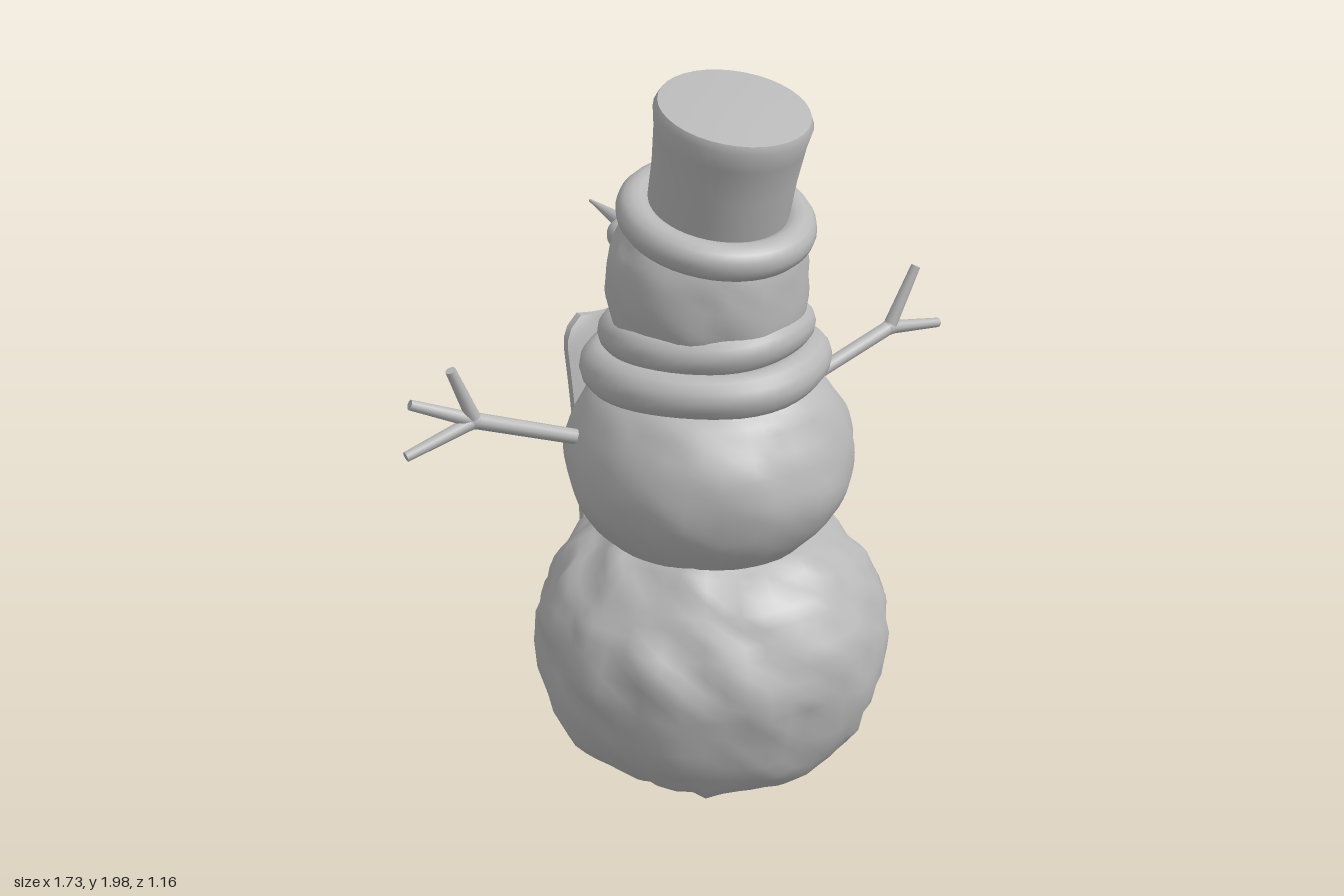
import * as THREE from 'three';
import { mergeVertices, toCreasedNormals } from 'three/addons/utils/BufferGeometryUtils.js';

const grey = new THREE.MeshStandardMaterial({ color: 0xb8b8b8 });
grey.name = 'snow grey';

function add(parent, name, geometry, x = 0, y = 0, z = 0) {
  const mesh = new THREE.Mesh(geometry, grey);
  mesh.name = name;
  mesh.position.set(x, y, z);
  parent.add(mesh);
  return mesh;
}

// Move every vertex by a rule, then weld and smooth.
function reshape(geometry, rule) {
  const p = geometry.attributes.position, v = new THREE.Vector3();
  for (let i = 0; i < p.count; i++) {
    rule(v.fromBufferAttribute(p, i));
    p.setXYZ(i, v.x, v.y, v.z);
  }
  geometry.deleteAttribute('uv');
  geometry.deleteAttribute('normal');
  const welded = mergeVertices(geometry, 1e-4);
  welded.computeVertexNormals();
  return welded;
}

// Smooth value noise in -1..1 for packed-snow lumps.
function hash(x, y, z) {
  const s = Math.sin(x * 127.1 + y * 311.7 + z * 74.7) * 43758.5453;
  return (s - Math.floor(s)) * 2 - 1;
}
function noise(x, y, z) {
  const ix = Math.floor(x), iy = Math.floor(y), iz = Math.floor(z);
  const ease = t => t * t * (3 - 2 * t);
  const fx = ease(x - ix), fy = ease(y - iy), fz = ease(z - iz);
  let sum = 0;
  for (let a = 0; a < 2; a++) for (let b = 0; b < 2; b++) for (let c = 0; c < 2; c++)
    sum += hash(ix + a, iy + b, iz + c) * (a ? fx : 1 - fx) * (b ? fy : 1 - fy) * (c ? fz : 1 - fz);
  return sum;
}

function snowball(profile, midY, lump, freq) {
  const curve = new THREE.SplineCurve(profile.map(([r, y]) => new THREE.Vector2(r, y)));
  const points = curve.getPoints(34);
  points.forEach(p => { p.x = Math.max(0, p.x); });
  points[0].x = points[points.length - 1].x = 0;
  const centre = new THREE.Vector3(0, midY, 0);
  return reshape(new THREE.LatheGeometry(points, 52), v => {
    const n = noise(v.x * freq + 7, v.y * freq, v.z * freq) + 0.4 * noise(v.x * freq * 2.3, v.y * freq * 2.3 + 5, v.z * freq * 2.3);
    v.addScaledVector(v.clone().sub(centre).normalize(), n * lump);
    v.y = Math.max(v.y, 0.005);
  });
}

// Tapered rod between two points.
function rod(parent, name, from, to, r0, r1, sides = 10) {
  const a = new THREE.Vector3(...from), b = new THREE.Vector3(...to);
  const dir = b.clone().sub(a);
  const mesh = add(parent, name, new THREE.CylinderGeometry(r1, r0, dir.length(), sides));
  mesh.position.copy(a).add(b).multiplyScalar(0.5);
  mesh.quaternion.setFromUnitVectors(new THREE.Vector3(0, 1, 0), dir.normalize());
}

export function createModel() {
  const model = new THREE.Group();
  model.name = 'snowman';

  // Stacked snow body
  add(model, 'lowerBall', snowball([[0, 0.01], [0.15, 0.01], [0.29, 0.02], [0.43, 0.13], [0.505, 0.36],
    [0.465, 0.54], [0.36, 0.67], [0.2, 0.73], [0, 0.74]], 0.37, 0.024, 10), 0, 0, 0.075);
  add(model, 'middleBall', snowball([[0, 0.6], [0.18, 0.64], [0.29, 0.71], [0.375, 0.82], [0.4, 0.94],
    [0.365, 1.07], [0.27, 1.18], [0, 1.24]], 0.93, 0.01, 8), 0, 0, 0.06);
  add(model, 'head', snowball([[0, 1.16], [0.2, 1.21], [0.265, 1.33], [0.275, 1.45], [0.255, 1.55],
    [0.18, 1.63], [0, 1.66]], 1.43, 0.009, 9), 0, 0, 0.05);

  // Face
  for (const x of [-0.12, 0.12]) add(model, 'eye', new THREE.SphereGeometry(0.046, 18, 12), x, 1.51, -0.185);
  rod(model, 'carrotNose', [0.01, 1.44, -0.19], [0, 1.475, -0.582], 0.048, 0.004, 16);
  const smile = new THREE.CatmullRomCurve3([[-0.1, 1.385, -0.19], [-0.05, 1.355, -0.21], [0, 1.345, -0.217],
    [0.05, 1.355, -0.21], [0.1, 1.385, -0.19]].map(p => new THREE.Vector3(...p)));
  add(model, 'mouth', new THREE.TubeGeometry(smile, 20, 0.012, 8));

  // Top hat, tipped backwards
  const hat = new THREE.Group();
  hat.name = 'topHat';
  hat.position.set(0, 1.62, 0.095);
  hat.rotation.x = 0.26;
  model.add(hat);
  const crown = [[0.18, -0.02], [0.188, 0.05], [0.19, 0.15], [0.198, 0.25], [0.207, 0.305], [0.198, 0.325], [0.1, 0.334], [0, 0.334]];
  add(hat, 'hatCrown', toCreasedNormals(new THREE.LatheGeometry(crown.map(p => new THREE.Vector2(...p)), 36), 0.7));
  add(hat, 'hatBrim', new THREE.TorusGeometry(0.217, 0.05, 14, 44).rotateX(Math.PI / 2));

  // Scarf: two wrapped coils
  for (const [name, radius, thick, y, z, tilt] of [
    ['scarfLowerCoil', 0.282, 0.063, 1.195, 0.04, -0.06],
    ['scarfUpperCoil', 0.238, 0.058, 1.295, 0.045, -0.09]]) {
    const coil = reshape(new THREE.TorusGeometry(radius, thick, 14, 48).rotateX(Math.PI / 2), v => {
      const angle = Math.atan2(v.z, v.x);
      v.y += 0.006 * Math.sin(angle * 3 + radius * 20);
      v.multiplyScalar(1 + 0.012 * Math.sin(angle * 5));
    });
    add(model, name, coil, 0, y, z).rotation.x = tilt;
  }

  // Scarf end hanging over the chest, with a fringe
  const tail = new THREE.Group();
  tail.name = 'scarfEnd';
  tail.position.z = 0.06;
  tail.rotation.y = 2.6;
  model.add(tail);
  const drape = v => { v.z += 0.35 + (1.17 - v.y) * 0.28; };
  const cloth = new THREE.BoxGeometry(0.17, 0.33, 0.045, 8, 8, 1).translate(0, 1.01, 0);
  add(tail, 'scarfCloth', toCreasedNormals(reshape(cloth, v => {
    v.x *= 0.8 + (1.17 - v.y) * 0.65;
    v.z += 0.008 * Math.cos(v.x * 70);
    drape(v);
  }), 0.7));
  for (let i = 0; i < 5; i++) {
    const length = 0.1 + 0.015 * (i % 2);
    const strand = new THREE.BoxGeometry(0.026, length, 0.03).translate((i - 2) * 0.037, 0.86 - length / 2, 0);
    add(tail, 'scarfFringe', toCreasedNormals(reshape(strand, drape), 0.7));
  }

  // Stick arms with twig fingers
  const arms = [
    { root: [-0.33, 1.015, -0.02], wrist: [-0.665, 1.145, -0.03],
      tips: [[-0.732, 1.305, -0.02], [-0.835, 1.22, -0.055], [-0.865, 1.09, -0.03]] },
    { root: [0.33, 1.01, -0.02], wrist: [0.675, 1.125, -0.025],
      tips: [[0.76, 1.3, -0.02], [0.86, 1.1, -0.03]] }];
  for (const { root, wrist, tips } of arms) {
    const arm = new THREE.Group();
    arm.name = 'stickArm';
    model.add(arm);
    rod(arm, 'armStick', root, wrist, 0.021, 0.022);
    add(arm, 'armFork', new THREE.SphereGeometry(0.023, 10, 8), ...wrist);
    for (const tip of tips) rod(arm, 'twigFinger', wrist, tip, 0.02, 0.014);
  }

  // Bowed board leaning against the belly, with a round knob
  const board = new THREE.BoxGeometry(0.25, 1.12, 0.026, 10, 36, 1).translate(0, 0.59, 0);
  add(model, 'board', toCreasedNormals(reshape(board, v => {
    const end = Math.max(0, Math.abs(v.y - 0.59) / 0.56 - 0.84) / 0.16;
    const bow = v.y > 0.35 ? 0.15 * (v.y - 0.35) ** 2 : 0.5 * (v.y - 0.35) ** 2;
    v.z -= 0.428 + bow + 0.018 * (v.x / 0.125) ** 2;
    v.x *= Math.sqrt(1 - 0.7 * end * end);
  }), 0.7));
  add(model, 'boardKnob', new THREE.SphereGeometry(0.04, 18, 12), 0, 0.545, -0.474);

  return model;
}
